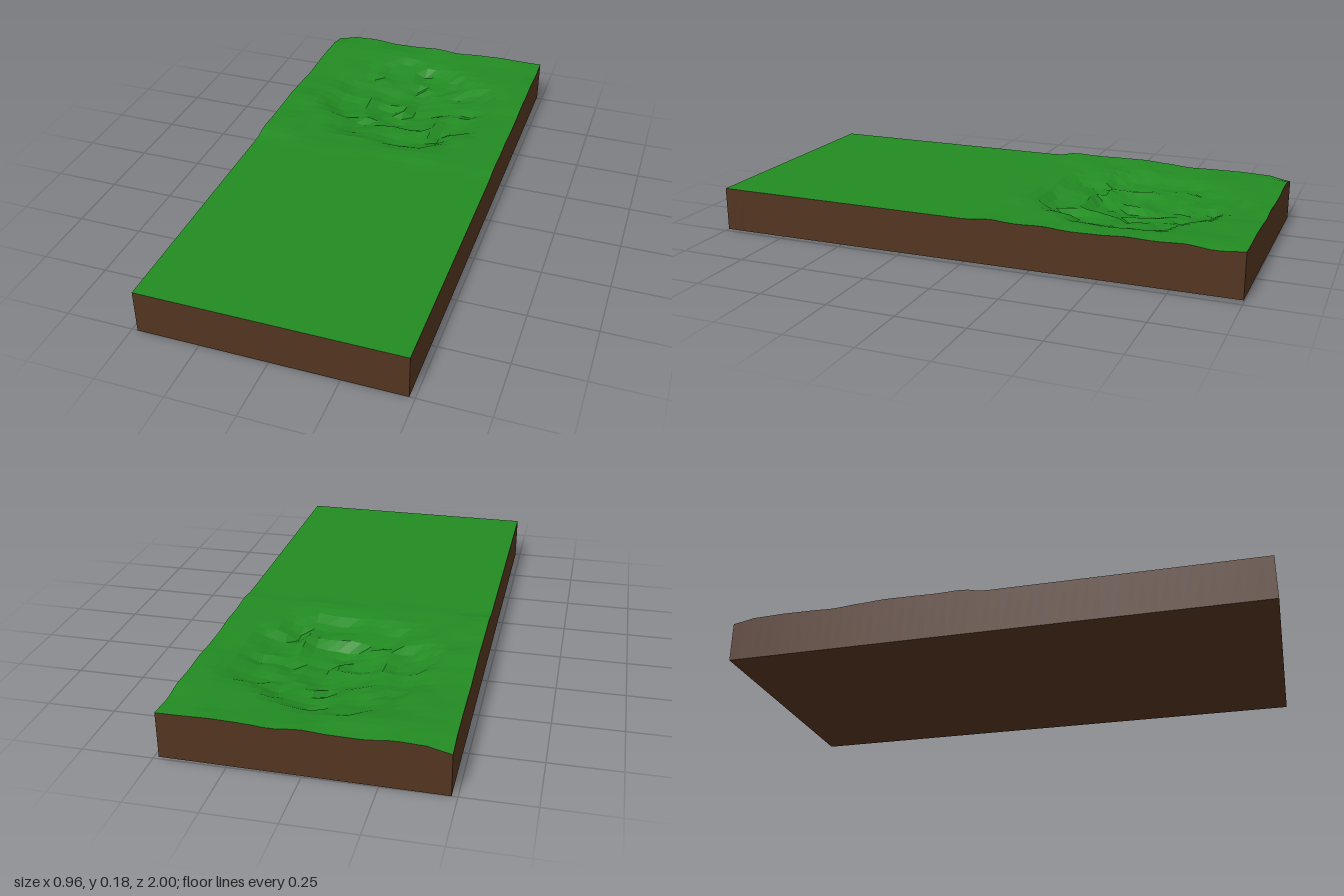
import * as THREE from 'three';

const HALF_W = 0.48, BASE = 0.165, NX = 24, NZ = 50;

// Repeatable lattice hash and smooth value noise, both in 0..1
function hash(i, j) {
  const s = Math.sin(i * 127.1 + j * 311.7 + 17.3) * 43758.5453;
  return s - Math.floor(s);
}
function noise(x, z) {
  const i = Math.floor(x), j = Math.floor(z);
  const u = THREE.MathUtils.smoothstep(x - i, 0, 1), v = THREE.MathUtils.smoothstep(z - j, 0, 1);
  const { lerp } = THREE.MathUtils;
  return lerp(lerp(hash(i, j), hash(i + 1, j), u), lerp(hash(i, j + 1), hash(i + 1, j + 1), u), v);
}

// Ground height: flat lawn in front, bumpy ground with a rough hollow behind
function groundY(x, z) {
  const { smoothstep } = THREE.MathUtils;
  const rough = smoothstep(-z, 0.01, 0.1);
  if (rough === 0) return BASE;
  const bumps = 0.016 * noise(x * 10 + 3, z * 10 + 8);
  const r = Math.hypot(x / 0.33, (z + 0.5) / 0.34) + 0.22 * (noise(x * 9, z * 9) - 0.5);
  const rim = 1 - smoothstep(r, 0.75, 1.1);
  const pit = 1 - smoothstep(r, 0.35, 0.65);
  const apron = 1 - smoothstep(r, 0.9, 1.45);
  const rubble = 0.03 * (noise(x * 19 + 5, z * 19) - 0.5) * rim;
  const corner = 0.016 * (1 - smoothstep(Math.hypot(x + HALF_W, z + 1), 0, 0.09));
  return BASE + rough * (bumps - 0.01 * apron - 0.028 * rim - 0.022 * pit + rubble - corner);
}

// Underside is almost level, with one back corner slightly lifted
const bottomY = (x, z) => 0.008 * Math.max(0, (x / HALF_W - z) / 2);

function makeGrass() {
  const geo = new THREE.PlaneGeometry(HALF_W * 2, 2, NX, NZ).rotateX(-Math.PI / 2);
  const p = geo.attributes.position;
  for (let i = 0; i < p.count; i++) p.setY(i, groundY(p.getX(i), p.getZ(i)));
  geo.computeVertexNormals();
  const mesh = new THREE.Mesh(geo, new THREE.MeshStandardMaterial({ color: 0x228b22, flatShading: true }));
  mesh.name = 'grassSurface';
  return mesh;
}

function makeSoil() {
  // Rim points, walked around the block so that the walls face outwards
  const corners = [[-HALF_W, 1], [HALF_W, 1], [HALF_W, -1], [-HALF_W, -1]];
  const rim = [];
  corners.forEach(([x, z], k) => {
    const [x2, z2] = corners[(k + 1) % 4];
    const n = k % 2 ? NZ : NX;
    for (let i = 0; i < n; i++) rim.push([x + (x2 - x) * i / n, z + (z2 - z) * i / n]);
  });
  const verts = [];
  const low = ([x, z]) => [x, bottomY(x, z), z];
  const high = ([x, z]) => [x, groundY(x, z), z];
  rim.forEach((a, i) => {
    const b = rim[(i + 1) % rim.length];
    verts.push(...low(a), ...low(b), ...high(b), ...low(a), ...high(b), ...high(a));
  });
  // Underside
  const [fl, fr, br, bl] = corners.map(low);
  verts.push(...bl, ...br, ...fr, ...bl, ...fr, ...fl);

  const geo = new THREE.BufferGeometry();
  geo.setAttribute('position', new THREE.Float32BufferAttribute(verts, 3));
  geo.computeVertexNormals();
  const mesh = new THREE.Mesh(geo, new THREE.MeshStandardMaterial({ color: 0x523420, flatShading: true }));
  mesh.name = 'soilBlock';
  return mesh;
}

export function createModel() {
  const group = new THREE.Group();
  group.name = 'terrainTile';
  group.add(makeGrass(), makeSoil());
  return group;
}
